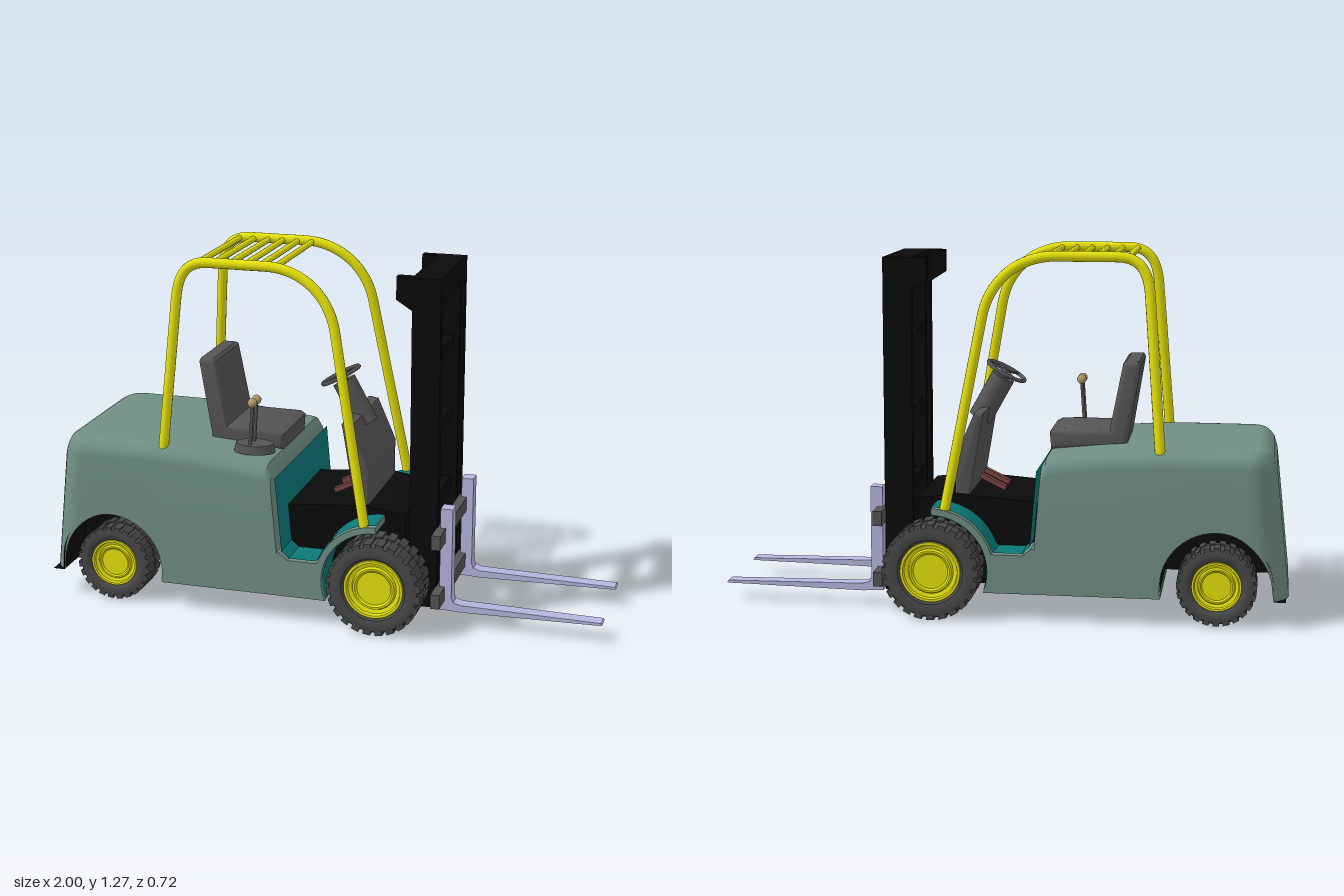
import * as THREE from 'three';
import { mergeGeometries, toCreasedNormals } from 'three/addons/utils/BufferGeometryUtils.js';
import { RoundedBoxGeometry } from 'three/addons/geometries/RoundedBoxGeometry.js';

const mat = (color, side = THREE.FrontSide) => new THREE.MeshStandardMaterial({ color, side });
const GREEN = mat(0x708f84, THREE.DoubleSide), TEAL = mat(0x0b7878, THREE.DoubleSide);
const BLACK = mat(0x0a0a0a, THREE.DoubleSide), YELLOW = mat(0xe6e20c), RUBBER = mat(0x484848);
const GREY = mat(0x555555), STEEL = mat(0xb8b6e0), KNOB = mat(0xb39b6d), RED = mat(0x7c4440);

export function createModel() {
  const model = new THREE.Group();
  model.name = 'forklift';
  const add = (name, geo, material, parent = model) => {
    const mesh = new THREE.Mesh(geo, material);
    mesh.name = name;
    parent.add(mesh);
    return mesh;
  };
  // box given by its extents
  const box = (name, m, x0, x1, y0, y1, z0, z1) =>
    add(name, new THREE.BoxGeometry(x1 - x0, y1 - y0, z1 - z0), m)
      .position.set((x0 + x1) / 2, (y0 + y1) / 2, (z0 + z1) / 2);
  // cylinder between two points
  const rod = (name, m, a, b, r, seg = 16) => {
    const p = new THREE.Vector3(...a), q = new THREE.Vector3(...b);
    const mesh = add(name, new THREE.CylinderGeometry(r, r, p.distanceTo(q), seg), m);
    mesh.position.copy(p).add(q).multiplyScalar(0.5);
    mesh.quaternion.setFromUnitVectors(new THREE.Vector3(0, 1, 0), q.sub(p).normalize());
  };
  // side-view outline extruded across z
  const slab = (name, m, shape, z0, z1, bevel = 0) => {
    const geo = new THREE.ExtrudeGeometry(shape, {
      depth: z1 - z0 - 2 * bevel, bevelEnabled: bevel > 0, bevelSize: bevel, bevelThickness: bevel,
      bevelOffset: -bevel, bevelSegments: 4, curveSegments: 24 });
    geo.translate(0, 0, z0 + bevel);
    return add(name, toCreasedNormals(geo, 0.6), m);
  };
  const poly = (pts) => new THREE.Shape(pts.map((p) => new THREE.Vector2(...p)));
  // skin over rows of [x, y, z]
  const loft = (rows) => {
    const n = rows[0].length, idx = [];
    for (let i = 0; i < rows.length - 1; i++)
      for (let j = 0; j < n - 1; j++) {
        const a = i * n + j, b = a + n;
        idx.push(a, b, a + 1, b, b + 1, a + 1);
      }
    const geo = new THREE.BufferGeometry();
    geo.setAttribute('position', new THREE.Float32BufferAttribute(rows.flat(2), 3));
    geo.setIndex(idx);
    return toCreasedNormals(geo, 0.6);
  };
  const ribbon = (name, m, pts, w) => add(name, loft([w, -w].map((z) => pts.map(([x, y]) => [x, y, z]))), m);
  const arc = (cx, cy, r, a0, a1, n) => Array.from({ length: n + 1 }, (_, i) => {
    const a = (a0 + (a1 - a0) * i / n) * Math.PI / 180;
    return [cx + r * Math.cos(a), cy + r * Math.sin(a)];
  });

  // rounded rear body: stations of [x, lower edge], with the rear wheel arches cut in
  const arch = arc(-0.755, 0.145, 0.193, 180, 0, 24);
  const stations = [
    ...[0, 0.1, 0.25, 0.45, 0.7].map((t) => [-1 + 0.075 * t, 0.1]),
    [-0.948, 0.1], ...arch, [-0.562, 0.1], [-0.5, 0.1], [-0.35, 0.1], [-0.18, 0.1], [-0.16, 0.1], [-0.145, 0.1], [-0.13, 0.1]];
  const round = (d, r) => (d >= r ? 0 : r - Math.sqrt(r * r - (r - d) ** 2));
  const section = ([x, yb], flat) => {
    const w = 0.325 - round(x + 1, 0.11);
    const top = 0.612 - round(x + 1, 0.055) - 0.035 * Math.max(0, (x + 0.6) / 0.45) ** 1.5 - round(-0.13 - x, 0.025);
    const r = 0.06;
    const half = [[w, yb], [w, (yb + top - r) / 2], ...arc(w - r, top - r, r, 0, 90, 7)];
    const full = [...half, ...half.slice().reverse().map(([z, y]) => [-z, y])];
    return full.map(([z, y]) => {
      const lean = 0.055 * (y - 0.1) / 0.5 * THREE.MathUtils.clamp((-0.75 - x) / 0.2, 0, 1);
      const rake = -0.08 * (y - 0.25) * THREE.MathUtils.clamp((x + 0.3) / 0.17, 0, 1);
      return [x + lean + rake, y, flat ? 0 : z];
    });
  };
  add('body', loft([section(stations[0], true), ...stations.map((s) => section(s)),
    section(stations.at(-1), true)]), GREEN);
  ribbon('rearArchLiner', BLACK, [[-0.99, 0.102], [-0.948, 0.102], ...arch, [-0.562, 0.102]], 0.316);
  box('rearDivider', BLACK, -0.94, -0.57, 0.16, 0.33, -0.14, 0.14);
  box('underside', GREEN, -0.565, 0.03, 0.1, 0.115, -0.322, 0.322);

  // step sill running into the front fenders
  const fx = 0.227, fy = 0.173;
  slab('sillAndFenders', GREEN, poly([[-0.2, 0.1], ...arc(fx, fy, 0.195, 202, 90, 24),
    ...arc(fx, fy, 0.218, 90, 163, 20), [-0.09, 0.236], [-0.12, 0.26], [-0.2, 0.26]]), -0.325, 0.325);
  ribbon('cabLining', TEAL, [[-0.137, 0.53], [-0.115, 0.265], [-0.088, 0.241], [0.01, 0.241],
    ...arc(fx, fy, 0.222, 160, 90, 20)], 0.316);
  ribbon('fenderLining', TEAL, arc(fx, fy, 0.192, 200, 90, 20), 0.318);
  slab('chassis', BLACK, poly([[-0.2, 0.1], [0.3, 0.1], [0.3, 0.4], [0.16, 0.42], [-0.2, 0.392]]), -0.197, 0.197);

  // wheels
  const lathe = (pts) => toCreasedNormals(
    new THREE.LatheGeometry(pts.map((p) => new THREE.Vector2(...p)), 40).rotateX(Math.PI / 2), 0.6);
  const wheel = (name, x, y, z, R, w) => {
    const g = new THREE.Group(), h = w / 2, ri = R * 0.62, rt = R * 0.965;
    g.name = name;
    g.position.set(x, y, z);
    model.add(g);
    add('tyre', lathe([[ri, -h * 0.75], [ri + 0.01, -h * 0.92], [R * 0.8, -h], [R * 0.92, -h * 0.93], [rt, -h * 0.75],
      [rt, h * 0.75], [R * 0.92, h * 0.93], [R * 0.8, h], [ri + 0.01, h * 0.92], [ri, h * 0.75]]), RUBBER, g);
    const lugs = [], n = 24;
    for (let i = 0; i < n; i++)
      for (const s of [-1, 1]) {
        const lug = new THREE.BoxGeometry(R * 0.16, R * 0.09, h * 0.86);
        lug.translate(0, R * 0.955, s * h * 0.51);
        lugs.push(lug.rotateZ((i + (s > 0 ? 0.5 : 0)) / n * Math.PI * 2));
      }
    add('tread', mergeGeometries(lugs), RUBBER, g);
    const side = [[0, 0.72], [0.36, 0.72], [0.4, 0.8], [0.44, 0.8], [0.47, 0.66], [0.55, 0.72], [0.57, 0.9], [0.625, 0.9]];
    add('rim', lathe([...side.map(([r, k]) => [r * R, -k * h]),
      ...side.slice().reverse().map(([r, k]) => [r * R, k * h])]), YELLOW, g);
  };
  for (const s of [1, -1]) {
    const label = s > 0 ? 'left' : 'right';
    wheel(label + 'FrontWheel', fx, fy, s * 0.287, 0.169, 0.146);
    wheel(label + 'RearWheel', -0.755, 0.145, s * 0.25, 0.137, 0.125);

    // overhead guard side hoop, leaning inwards towards the top
    const path = new THREE.Path();
    path.moveTo(-0.557, 0.59).lineTo(-0.513, 1.13);
    path.bezierCurveTo(-0.505, 1.215, -0.475, 1.257, -0.4, 1.257);
    path.lineTo(-0.19, 1.257);
    path.bezierCurveTo(-0.07, 1.257, 0.035, 1.18, 0.06, 1.05);
    path.lineTo(0.182, 0.385);
    const pts = path.getSpacedPoints(70).map((p) =>
      new THREE.Vector3(p.x, p.y, s * (0.226 + 0.079 * (1.257 - p.y) / 0.87)));
    add(label + 'GuardHoop', new THREE.TubeGeometry(new THREE.CatmullRomCurve3(pts), 100, 0.018, 12), YELLOW);

    // mast rails, outer one with a rear bracket at the top
    const z = (a, b) => (s > 0 ? [a, b] : [-b, -a]);
    slab(label + 'OuterRail', BLACK, poly([[0.315, 0.065], [0.415, 0.065], [0.415, 1.245], [0.26, 1.245],
      [0.26, 1.165], [0.315, 1.13]]), ...z(0.165, 0.197));
    box(label + 'InnerRail', BLACK, 0.33, 0.405, 0.075, 1.235, ...z(0.14, 0.165));

    // fork
    slab(label + 'Fork', STEEL, poly([[0.425, 0.06], [0.5, 0.056], [0.995, 0.066], [1, 0.07], [0.995, 0.075],
      [0.5, 0.082], [0.475, 0.09], [0.468, 0.105], [0.468, 0.435], [0.425, 0.435]]), ...z(0.142, 0.192));

    box(label + 'Pedal', RED, -0.05, 0.05, -0.008, 0.008, -0.015, 0.015);
    const pedal = model.children.at(-1);
    pedal.position.set(0.05, 0.438, s * 0.05);
    pedal.rotation.z = 0.46;
  }
  rod('frontAxle', GREY, [fx, fy, -0.25], [fx, fy, 0.25], 0.03);
  rod('rearAxle', GREY, [-0.755, 0.145, -0.22], [-0.755, 0.145, 0.22], 0.025);

  // overhead guard bars
  for (let i = 0; i < 6; i++) {
    const x = -0.437 + i * 0.055;
    rod('guardBar', YELLOW, [x, 1.254, -0.226], [x, 1.254, 0.226], 0.011, 12);
  }

  // mast cross members and fork carriage
  box('mastTop', BLACK, 0.315, 0.415, 1.16, 1.245, -0.18, 0.18);
  for (const y of [0.2, 0.42, 0.68, 0.945]) box('mastCrossbar', BLACK, 0.345, 0.385, y - 0.02, y + 0.02, -0.145, 0.145);
  box('mastFoot', BLACK, 0.33, 0.405, 0.065, 0.078, -0.15, 0.15);
  for (const y of [0.12, 0.338]) box('carriageBar', GREY, 0.412, 0.444, y - 0.026, y + 0.026, -0.275, 0.275);

  // seat
  slab('seat', GREY, poly([[-0.43, 0.585], [-0.165, 0.575], [-0.16, 0.635], [-0.18, 0.646], [-0.37, 0.648],
    [-0.415, 0.88], [-0.425, 0.888], [-0.47, 0.888], [-0.477, 0.875]]), -0.137, 0.137, 0.018);

  // control levers beside the seat
  const base = add('leverBase', new THREE.CylinderGeometry(0.9, 1, 1, 32), GREY);
  base.scale.set(0.075, 0.03, 0.052);
  base.position.set(-0.24, 0.608, 0.22);
  for (const z of [0.2, 0.245]) {
    rod('lever', GREY, [-0.25, 0.6, z], [-0.238, 0.77, z], 0.006, 10);
    add('leverKnob', new THREE.SphereGeometry(0.017, 16, 12), KNOB).position.set(-0.238, 0.775, z);
  }

  // dashboard, steering column and wheel
  slab('dashboard', GREY, poly([[0.115, 0.41], [0.165, 0.41], [0.165, 0.55], [0.1, 0.7], [0.065, 0.705], [0.07, 0.68]]),
    -0.187, 0.187, 0.008);
  rod('steeringColumn', GREY, [0.105, 0.66, 0], [0.022, 0.81, 0], 0.043, 24);
  const steering = new THREE.Group();
  steering.name = 'steeringWheel';
  steering.position.set(0.01, 0.829, 0);
  steering.rotation.z = 0.49;
  model.add(steering);
  add('steeringRim', new THREE.TorusGeometry(0.072, 0.007, 10, 40).rotateX(Math.PI / 2), GREY, steering);
  add('steeringHub', new THREE.CylinderGeometry(0.016, 0.02, 0.03, 20), GREY, steering).position.y = -0.008;
  for (let i = 0; i < 3; i++) {
    const spoke = new RoundedBoxGeometry(0.07, 0.008, 0.012, 2, 0.003).translate(0.036, 0, 0);
    add('steeringSpoke', spoke.rotateY(i * Math.PI * 2 / 3), GREY, steering);
  }
  return model;
}
